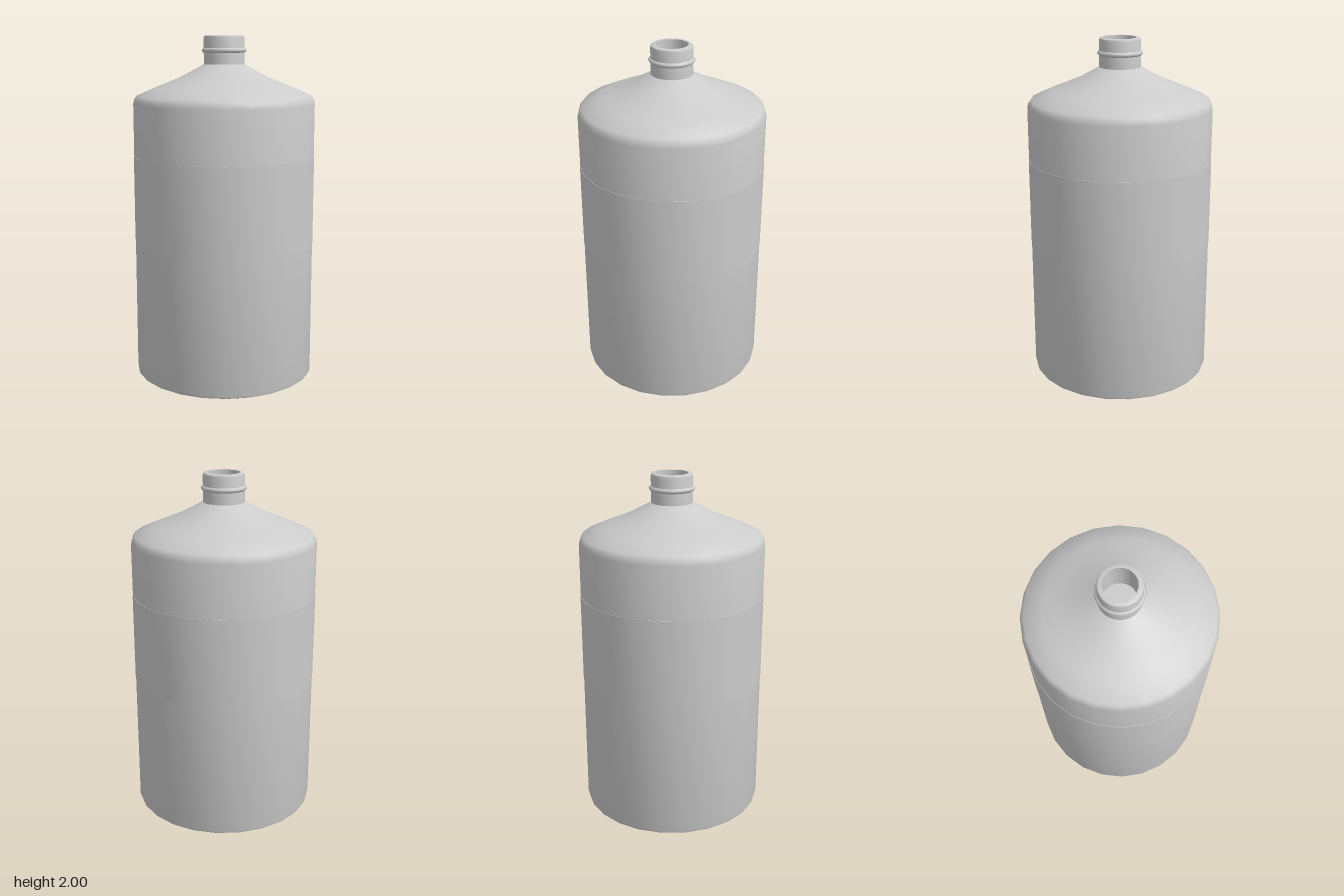
import * as THREE from 'three';
import { toCreasedNormals } from 'three/addons/utils/BufferGeometryUtils.js';

const material = new THREE.MeshStandardMaterial({ color: 0xcccccc });

// Revolve a [radius, height] profile, smooth except at sharp edges
function turned(name, profile, segments, crease = 0.7) {
  const points = profile.map(([r, y]) => new THREE.Vector2(r, y));
  const geometry = toCreasedNormals(new THREE.LatheGeometry(points, segments), crease);
  const mesh = new THREE.Mesh(geometry, material);
  mesh.name = name;
  return mesh;
}

export function createModel() {
  const bottle = new THREE.Group();
  bottle.name = 'bottle';

  // Closed base, straight wall and sloping shoulder
  bottle.add(turned('body', [
    [0, 0], [0.515, 0], [0.526, 0.006], [0.53, 0.02],
    [0.53, 1.61], [0.524, 1.635], [0.51, 1.655],
    [0.41, 1.7], [0.335, 1.73], [0.25, 1.765], [0.18, 1.802], [0.118, 1.836],
  ], 24));

  // Thin label band around the wall
  bottle.add(turned('label', [
    [0.529, 0.805], [0.532, 0.805], [0.532, 1.31], [0.529, 1.31],
  ], 24));

  // Neck with rounded lip and a blind bore
  bottle.add(turned('neck', [
    [0.118, 1.81], [0.118, 1.985], [0.115, 1.995], [0.107, 2],
    [0.09, 2], [0.09, 1.82], [0, 1.82],
  ], 48));

  // Raised ring on the neck
  bottle.add(turned('neckRing', [
    [0.116, 1.9], [0.125, 1.906], [0.13, 1.915], [0.125, 1.924], [0.116, 1.93],
  ], 48, 1.2));

  return bottle;
}
